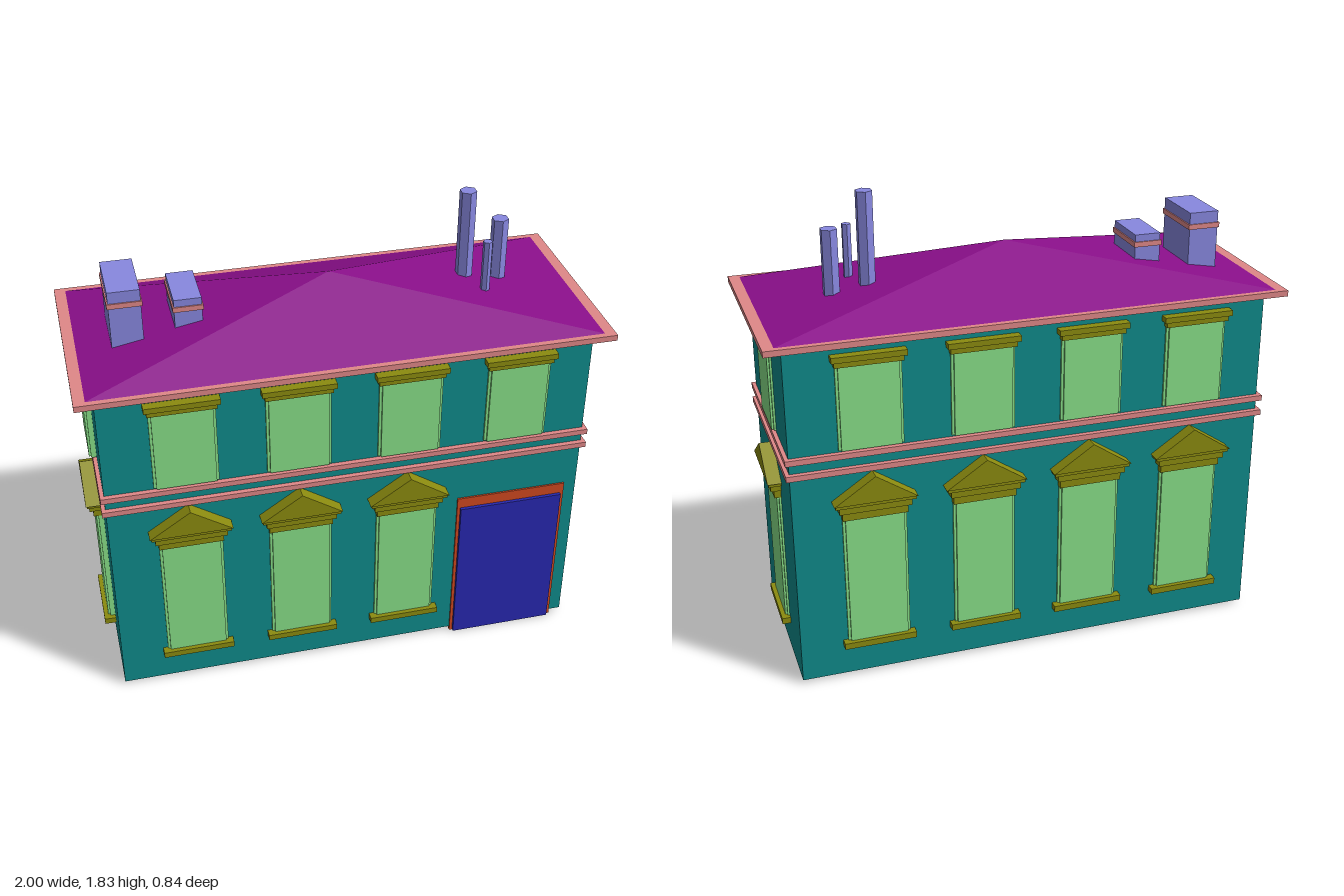
import * as THREE from 'three';

const mat = (color) => new THREE.MeshStandardMaterial({ color, flatShading: true });

export function createModel() {
  const house = new THREE.Group();
  house.name = 'house';
  const wall = mat(0x0f8b8b), glass = mat(0x88e088), trim = mat(0x8b8b0f), pink = mat(0xe08888);
  const purple = mat(0x8b0f8b), blue = mat(0x2828b0), orange = mat(0xd04820), lavender = mat(0x8888e0);

  const add = (parent, name, geometry, material) => {
    const mesh = new THREE.Mesh(geometry, material);
    mesh.name = name;
    parent.add(mesh);
    return mesh;
  };
  // box given by its min and max along each axis
  const box = (parent, name, material, x0, x1, y0, y1, z0, z1) => {
    const m = add(parent, name, new THREE.BoxGeometry(x1 - x0, y1 - y0, z1 - z0), material);
    m.position.set((x0 + x1) / 2, (y0 + y1) / 2, (z0 + z1) / 2);
    return m;
  };

  // walls, string courses and eaves
  box(house, 'walls', wall, -0.93, 0.93, 0.015, 1.39, -0.36, 0.36);
  box(house, 'lowerCourse', pink, -0.945, 0.945, 0.878, 0.9, -0.38, 0.38);
  box(house, 'upperCourse', pink, -0.945, 0.945, 0.94, 0.962, -0.38, 0.38);
  box(house, 'eaves', pink, -1, 1, 1.382, 1.405, -0.418, 0.418);

  // hipped roof rising to a single point
  const roof = new THREE.ConeGeometry(Math.SQRT1_2, 0.175, 4, 1);
  roof.rotateY(Math.PI / 4);
  roof.scale(1.915, 1, 0.79);
  add(house, 'roof', roof, purple).position.y = 1.405 + 0.0875;

  // windows are built on the plane z = 0, facing +z
  const pane = (g, y0, y1) => {
    box(g, 'frame', glass, -0.122, 0.122, y0, y1, -0.02, 0.008);
    box(g, 'pane', glass, -0.112, 0.112, y0, y1, -0.02, 0.016);
  };
  const upperWindow = () => {
    const g = new THREE.Group();
    g.name = 'upperWindow';
    pane(g, 0.97, 1.3);
    box(g, 'lintel', trim, -0.127, 0.127, 1.298, 1.322, -0.02, 0.026);
    box(g, 'cornice', trim, -0.138, 0.138, 1.32, 1.342, -0.02, 0.036);
    return g;
  };
  const lowerWindow = () => {
    const g = new THREE.Group();
    g.name = 'lowerWindow';
    pane(g, 0.16, 0.7);
    box(g, 'sill', trim, -0.141, 0.141, 0.14, 0.165, -0.02, 0.033);
    box(g, 'lintel', trim, -0.124, 0.124, 0.69, 0.725, -0.02, 0.026);
    box(g, 'frieze', trim, -0.137, 0.137, 0.725, 0.752, -0.02, 0.04);
    box(g, 'cornice', trim, -0.152, 0.152, 0.752, 0.767, -0.02, 0.048);
    const gable = new THREE.Shape([[-0.158, 0.765], [0.158, 0.765], [0, 0.87]].map(([x, y]) => new THREE.Vector2(x, y)));
    const pediment = new THREE.ExtrudeGeometry(gable, { depth: 0.073, bevelEnabled: false });
    add(g, 'pediment', pediment, trim).position.z = -0.02;
    return g;
  };

  // each facade: facing angle, wall distance, window centres per storey
  const xs = [-0.625, -0.2, 0.225, 0.645];
  const facades = [
    ['front', 0, 0.36, xs, xs.slice(0, 3)],
    ['back', Math.PI, 0.36, xs, xs],
    ['left', Math.PI / 2, 0.93, [0], [0]],
    ['right', -Math.PI / 2, 0.942, [0], [0]],
  ];
  for (const [name, angle, distance, upper, lower] of facades) {
    const facade = new THREE.Group();
    facade.name = name + 'Windows';
    facade.rotation.y = angle;
    const place = (w, x) => {
      w.position.set(x, 0, distance);
      facade.add(w);
    };
    upper.forEach((x) => place(upperWindow(), x));
    lower.forEach((x) => place(lowerWindow(), x));
    house.add(facade);
  }

  // door in its surround
  box(house, 'doorFrame', orange, 0.435, 0.88, 0, 0.7, 0.305, 0.367);
  box(house, 'door', blue, 0.447, 0.865, 0.003, 0.655, 0.31, 0.38);

  // brick chimneys with a projecting band
  const chimneys = [
    [-0.83, -0.712, 1.655, 1.6, -0.132, 0.104],
    [-0.595, -0.492, 1.585, 1.547, -0.118, 0.09],
  ];
  for (const [x0, x1, top, band, z0, z1] of chimneys) {
    box(house, 'chimney', lavender, x0, x1, 1.41, top, z0, z1);
    box(house, 'chimneyBand', pink, x0 - 0.005, x1 + 0.005, band - 0.01, band + 0.01, z0 - 0.005, z1 + 0.005);
  }

  // flue pipes: x, z, radius, bottom, top
  const pipes = [
    [0.545, -0.038, 0.033, 1.45, 1.83],
    [0.68, -0.038, 0.033, 1.43, 1.7],
    [0.59, 0.084, 0.018, 1.43, 1.675],
  ];
  for (const [x, z, r, y0, y1] of pipes) {
    const pipe = add(house, 'fluePipe', new THREE.CylinderGeometry(r, r, y1 - y0, 6), lavender);
    pipe.position.set(x, (y0 + y1) / 2, z);
  }
  return house;
}
